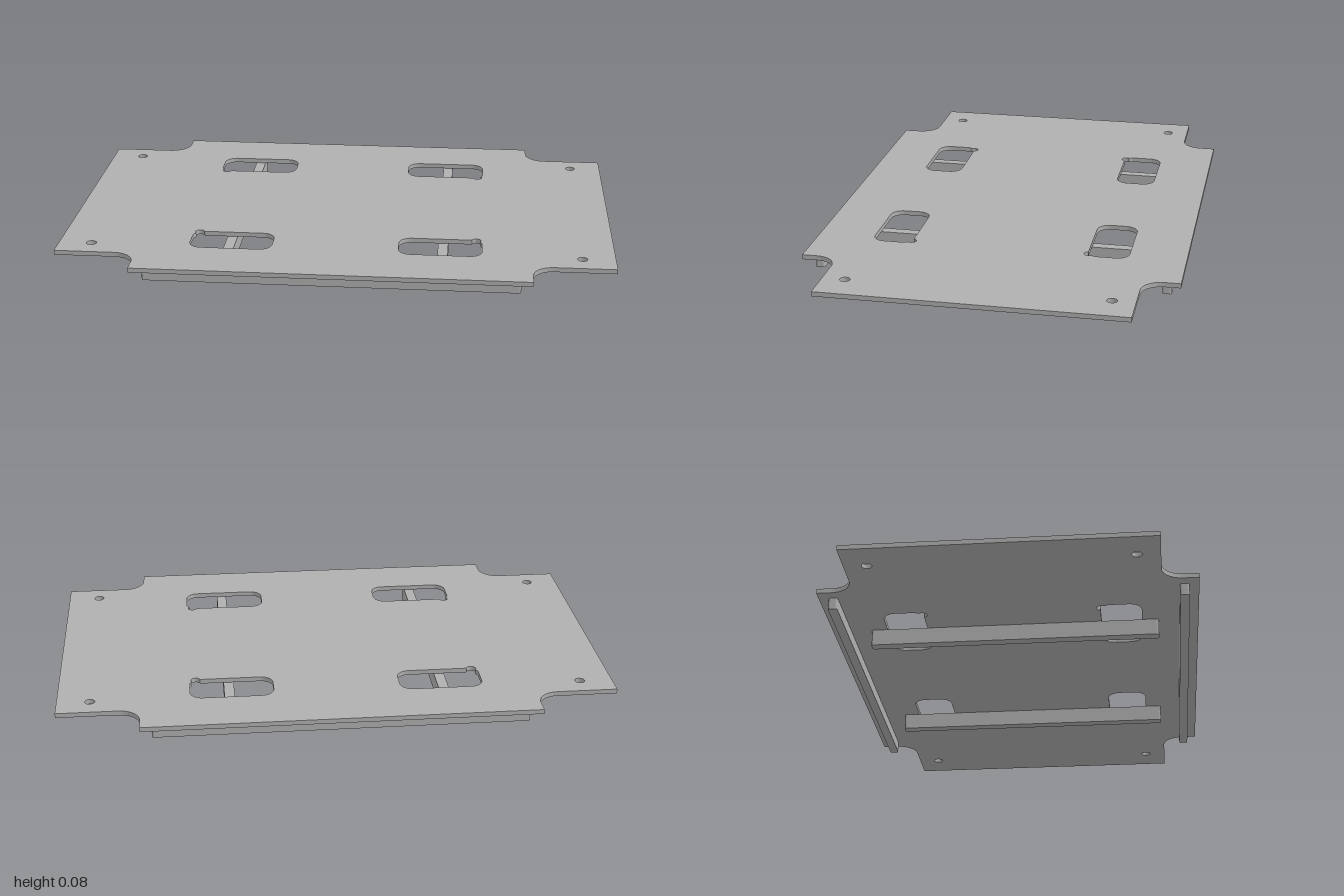
import * as THREE from 'three';

const steel = new THREE.MeshStandardMaterial({ color: 0xb0b0b0 });
steel.name = 'grey steel';

// points along an arc, angles in degrees
function arc(cx, cy, r, a0, a1, n = 10) {
  return Array.from({ length: n + 1 }, (_, i) => {
    const a = THREE.MathUtils.degToRad(a0 + (a1 - a0) * i / n);
    return new THREE.Vector2(cx + r * Math.cos(a), cy + r * Math.sin(a));
  });
}
const V = (x, y) => new THREE.Vector2(x, y);
const mirror = (pts, sx, sy) => pts.map(p => V(p.x * sx, p.y * sy));

// extrude a plan outline upward from y0 to y1
function slab(name, shape, y0, y1) {
  const g = new THREE.ExtrudeGeometry(shape, { depth: y1 - y0, bevelEnabled: false });
  g.rotateX(-Math.PI / 2);
  g.translate(0, y0, 0);
  const mesh = new THREE.Mesh(g, steel);
  mesh.name = name;
  return mesh;
}

// bar plan with slightly rounded upright edges
function barShape(w, d, r) {
  const x = w / 2 - r, y = d / 2 - r;
  return new THREE.Shape([
    ...arc(x, y, r, 0, 90, 5), ...arc(-x, y, r, 90, 180, 5),
    ...arc(-x, -y, r, 180, 270, 5), ...arc(x, -y, r, 270, 360, 5),
  ]);
}

export function createModel() {
  const model = new THREE.Group();
  model.name = 'mountingPlate';

  // plate outline: one quarter with a filleted corner notch, mirrored around
  const quarter = [V(1, 0.535), ...arc(0.78, 0.61, 0.075, 270, 180), V(0.705, 0.665)];
  const outline = new THREE.Shape([
    ...quarter, ...mirror(quarter, -1, 1).reverse(),
    ...mirror(quarter, -1, -1), ...mirror(quarter, 1, -1).reverse(),
  ]);

  // rounded window with a small relief bite at its outer inner corner
  const r = 0.045;
  const slot = [
    ...arc(0.528 - r, 0.463 - r, r, 0, 90),
    ...arc(0.228 + r, 0.463 - r, r, 90, 180),
    ...arc(0.228 + r, 0.317 + r, r, 180, 270),
    V(0.491, 0.317), ...arc(0.507, 0.321, 0.017, 195, 400, 14), V(0.528, 0.345),
  ];
  const boltHole = arc(0.882, 0.455, 0.018, 0, 345, 23);
  for (const sx of [1, -1]) for (const sy of [1, -1]) {
    outline.holes.push(new THREE.Path(mirror(slot, sx, sy)));
    outline.holes.push(new THREE.Path(mirror(boltHole, sx, sy)));
  }
  model.add(slab('plate', outline, 0.06, 0.077));

  // underside: two long edge rails and two deeper cross ribs
  for (const s of [1, -1]) {
    const rail = slab('edgeRail', barShape(1.33, 0.033, 0.008), 0.017, 0.06);
    rail.position.z = s * 0.614;
    const rib = slab('crossRib', barShape(0.037, 1.045, 0.008), 0, 0.06);
    rib.position.x = s * 0.387;
    model.add(rail, rib);
  }
  return model;
}
